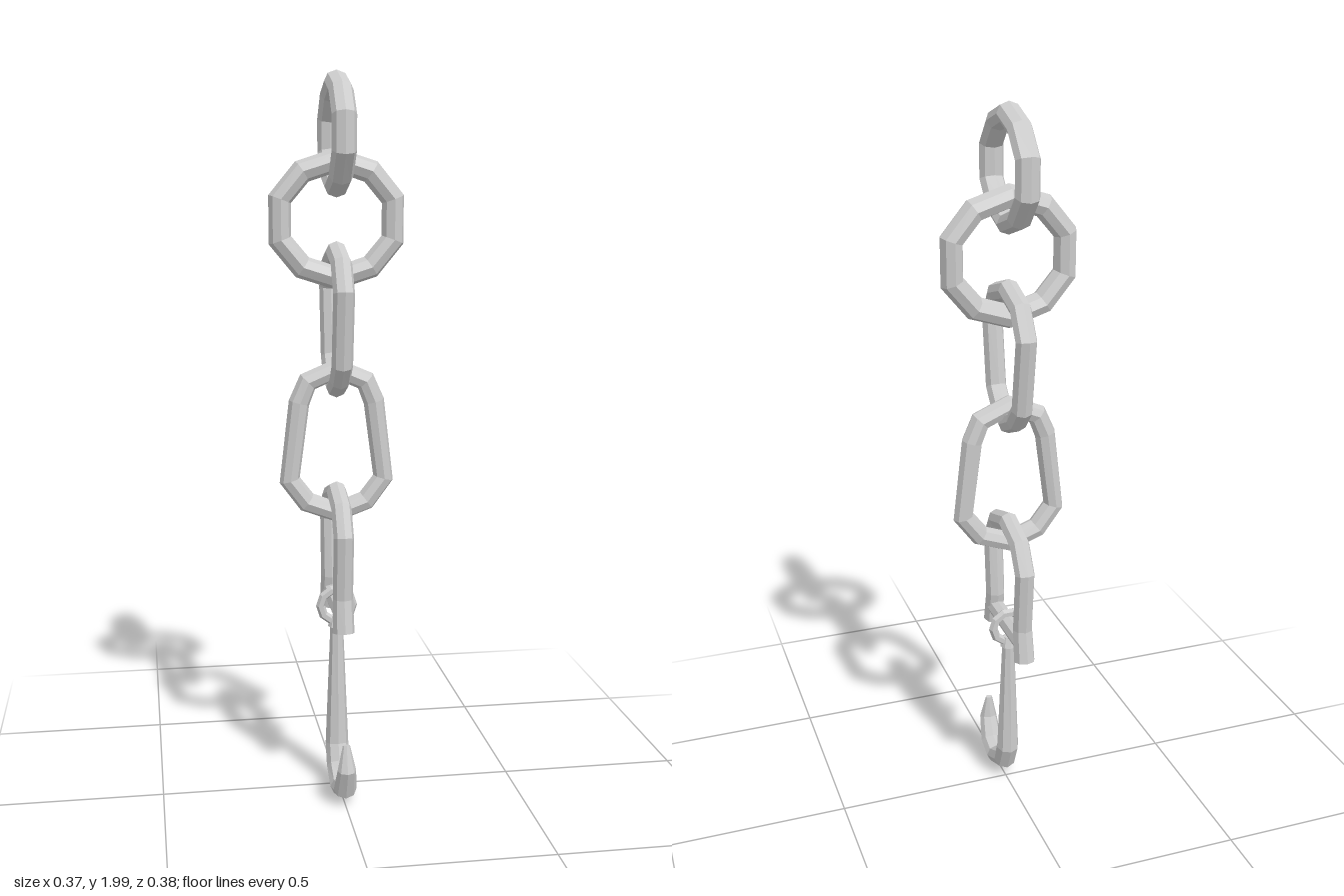
import * as THREE from 'three';

const steel = new THREE.MeshStandardMaterial({ color: 0xcccccc, flatShading: true });

// Sweep an eight-sided section along a flat path in the XY plane.
// path: [x, y, in-plane radius, depth radius]
function sweep(path, closed) {
  const sides = 8, n = path.length, pos = [], idx = [];
  const dir = (a, b) => new THREE.Vector2(b[0] - a[0], b[1] - a[1]).normalize();
  path.forEach((p, i) => {
    const t = new THREE.Vector2();
    if (closed || i > 0) t.add(dir(path[(i + n - 1) % n], p));
    if (closed || i < n - 1) t.add(dir(p, path[(i + 1) % n]));
    t.normalize();
    for (let j = 0; j < sides; j++) {
      const a = (j / sides) * Math.PI * 2, c = Math.cos(a) * p[2];
      pos.push(p[0] + t.y * c, p[1] - t.x * c, Math.sin(a) * p[3]);
    }
  });
  for (let i = 0; i < (closed ? n : n - 1); i++) {
    for (let j = 0; j < sides; j++) {
      const k = (j + 1) % sides, u = i * sides, v = ((i + 1) % n) * sides;
      idx.push(u + j, v + j, v + k, u + j, v + k, u + k);
    }
  }
  if (!closed) {
    const e = (n - 1) * sides;
    for (let j = 1; j < sides - 1; j++) idx.push(0, j, j + 1, e, e + j + 1, e + j);
  }
  const g = new THREE.BufferGeometry();
  g.setAttribute('position', new THREE.Float32BufferAttribute(pos, 3));
  g.setIndex(idx);
  const flat = g.toNonIndexed();
  flat.computeVertexNormals();
  return flat;
}

// Right half of a ten-sided ring, from top to bottom
const ringHalf = (cy, pts) => [
  ...pts.map(([x, y]) => [x, cy + y]),
  ...pts.slice().reverse().map(([x, y]) => [x, cy - y]),
];

export function createModel() {
  const group = new THREE.Group();
  const add = (name, geometry, turned = false) => {
    const mesh = new THREE.Mesh(geometry, steel);
    mesh.name = name;
    mesh.position.z = -0.024;
    if (turned) mesh.rotation.y = -Math.PI / 2; // local x becomes z
    group.add(mesh);
    return mesh;
  };

  // Closed links, alternating in direction: right half outline, then mirrored
  const links = [
    { name: 'topLink', r: 0.029, d: 0.033, turned: true,
      half: ringHalf(1.835, [[0, 0.136], [0.08, 0.108], [0.136, 0.045]]) },
    { name: 'secondLink', r: 0.032, d: 0.0365, turned: false,
      half: ringHalf(1.612, [[0, 0.156], [0.093, 0.126], [0.153, 0.054]]) },
    { name: 'thirdLink', r: 0.029, d: 0.029, turned: true,
      half: [[0, 1.526], [0.09, 1.497], [0.134, 1.425], [0.104, 1.232], [0.064, 1.188], [0, 1.159]] },
    { name: 'fourthLink', r: 0.029, d: 0.029, turned: false,
      half: [[0, 1.209], [0.08, 1.175], [0.104, 1.118], [0.131, 0.902], [0.083, 0.838], [0, 0.807]] },
  ];
  for (const { name, r, d, turned, half } of links) {
    const mirrored = half.slice(1, -1).reverse().map(([x, y]) => [-x, y]);
    add(name, sweep([...half, ...mirrored].map(([x, y]) => [x, y, r, d]), true), turned);
  }

  // Open shackle with flared feet
  const leg = [[0.133, 0.497, 0.031, 0.03], [0.117, 0.59, 0.029, 0.028],
    [0.133, 0.765, 0.029, 0.028], [0.09, 0.836, 0.029, 0.028]];
  const otherLeg = leg.slice().reverse().map(([x, ...rest]) => [-x, ...rest]);
  add('shackle', sweep([...leg, [0, 0.865, 0.029, 0.028], ...otherLeg], false), true);

  // Cross pin through the shackle feet
  const pin = add('shacklePin', new THREE.CylinderGeometry(0.025, 0.025, 0.25, 8));
  pin.rotation.x = Math.PI / 2;
  pin.position.y = 0.543;

  // Hook eye and collar
  add('hookEye', new THREE.TorusGeometry(0.046, 0.013, 6, 10)).position.y = 0.535;
  add('hookCollar', new THREE.CylinderGeometry(0.016, 0.025, 0.03, 8)).position.y = 0.489;

  // Hook: tapered shank, curve and point
  add('hook', sweep([
    [0.002, 0.485, 0.02, 0.018], [0.007, 0.125, 0.032, 0.033], [0.032, 0.066, 0.033, 0.033],
    [0.102, 0.034, 0.028, 0.033], [0.16, 0.052, 0.028, 0.032],
    [0.19, 0.12, 0.023, 0.026], [0.182, 0.19, 0.007, 0.01],
  ], false), true);

  return group;
}
